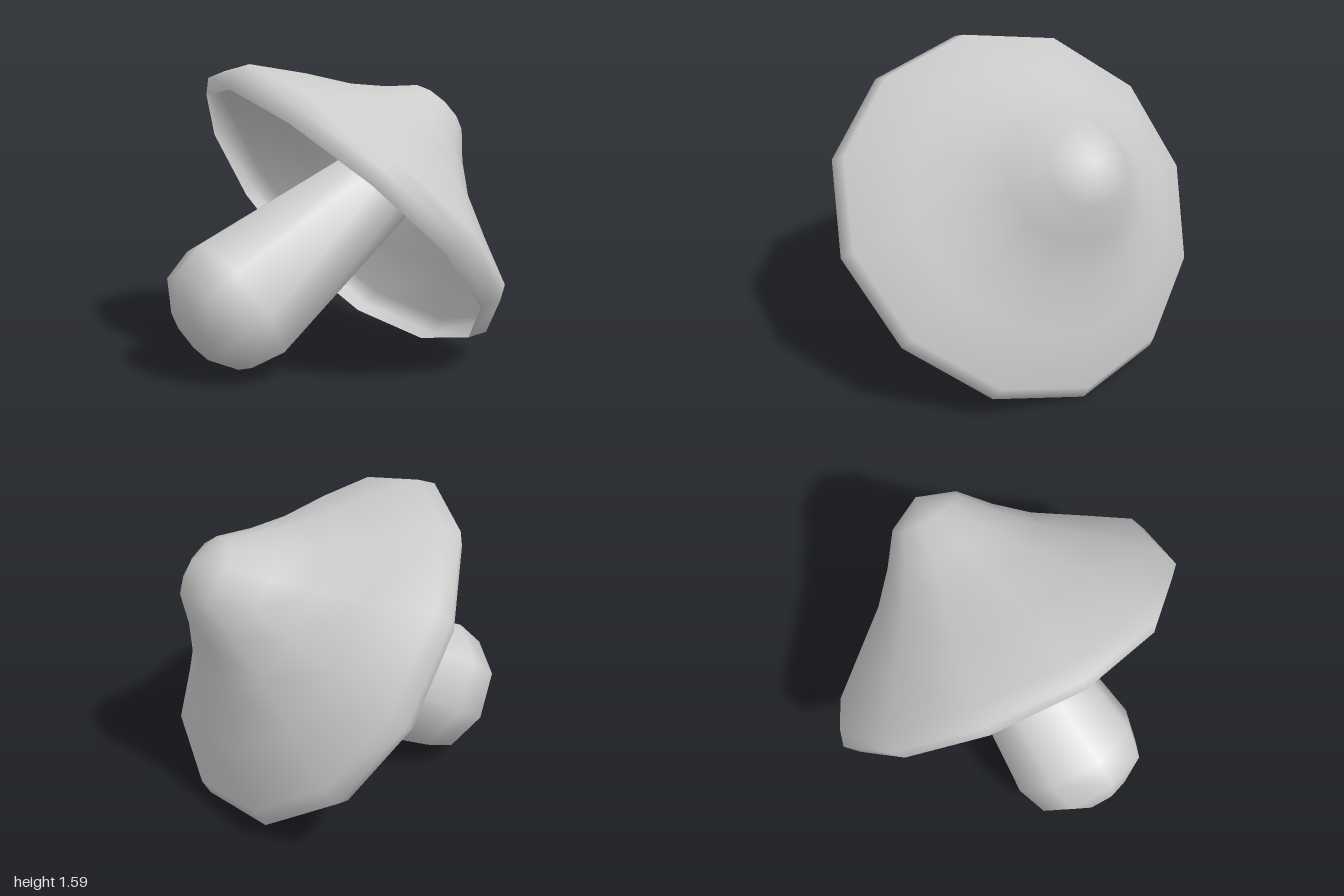
import * as THREE from 'three';
import { mergeVertices } from 'three/addons/utils/BufferGeometryUtils.js';

// Lathe with a closed seam, smooth normals and an optional vertex rule
function turned(profile, sides, rule) {
  const lathe = new THREE.LatheGeometry(profile.map(([r, y]) => new THREE.Vector2(r, y)), sides);
  lathe.deleteAttribute('uv');
  lathe.deleteAttribute('normal');
  const geometry = mergeVertices(lathe, 1e-4);
  if (rule) {
    const pos = geometry.attributes.position;
    const v = new THREE.Vector3();
    for (let i = 0; i < pos.count; i++) {
      rule(v.fromBufferAttribute(pos, i));
      pos.setXYZ(i, v.x, v.y, v.z);
    }
  }
  geometry.computeVertexNormals();
  return geometry;
}

// Saddle warp of the rim, a tilt that fades outwards, and a tip leaning to one side
function warpCap(v) {
  const { x, y, z } = v;
  const tilt = 0.09 - 0.062 * (x * x + z * z);
  v.y += 0.11 * x * z + 0.017 * z * z - tilt * x;
  v.x = x + 0.045 * Math.max(y, 0);
}

export function createModel() {
  const model = new THREE.Group();
  model.name = 'mushroom';
  const grey = new THREE.MeshStandardMaterial({ color: 0xcccccc, side: THREE.DoubleSide });
  grey.name = 'light grey';

  const add = (name, geometry, x, y, tilt) => {
    const mesh = new THREE.Mesh(geometry, grey);
    mesh.name = name;
    mesh.position.set(x, y, 0);
    mesh.rotation.z = THREE.MathUtils.degToRad(tilt);
    model.add(mesh);
  };

  // Cap: hollow shell with a rounded rim, concave flanks and a blunt tip
  add('cap', turned([
    [0.95, -0.077], [1.005, 0], [0.97, 0.09], [0.72, 0.285], [0.49, 0.46],
    [0.33, 0.622], [0.197, 0.787], [0, 0.88],
  ], 12, warpCap), 0.12, 0.787, -48.5);

  // Stem: rounded foot, tapering up into the hollow of the cap
  add('stem', turned([
    [0, -0.3], [0.165, -0.283], [0.325, -0.175], [0.372, 0], [0.205, 1.3],
  ], 8), -0.53, 0.39, -59.2);

  return model;
}
